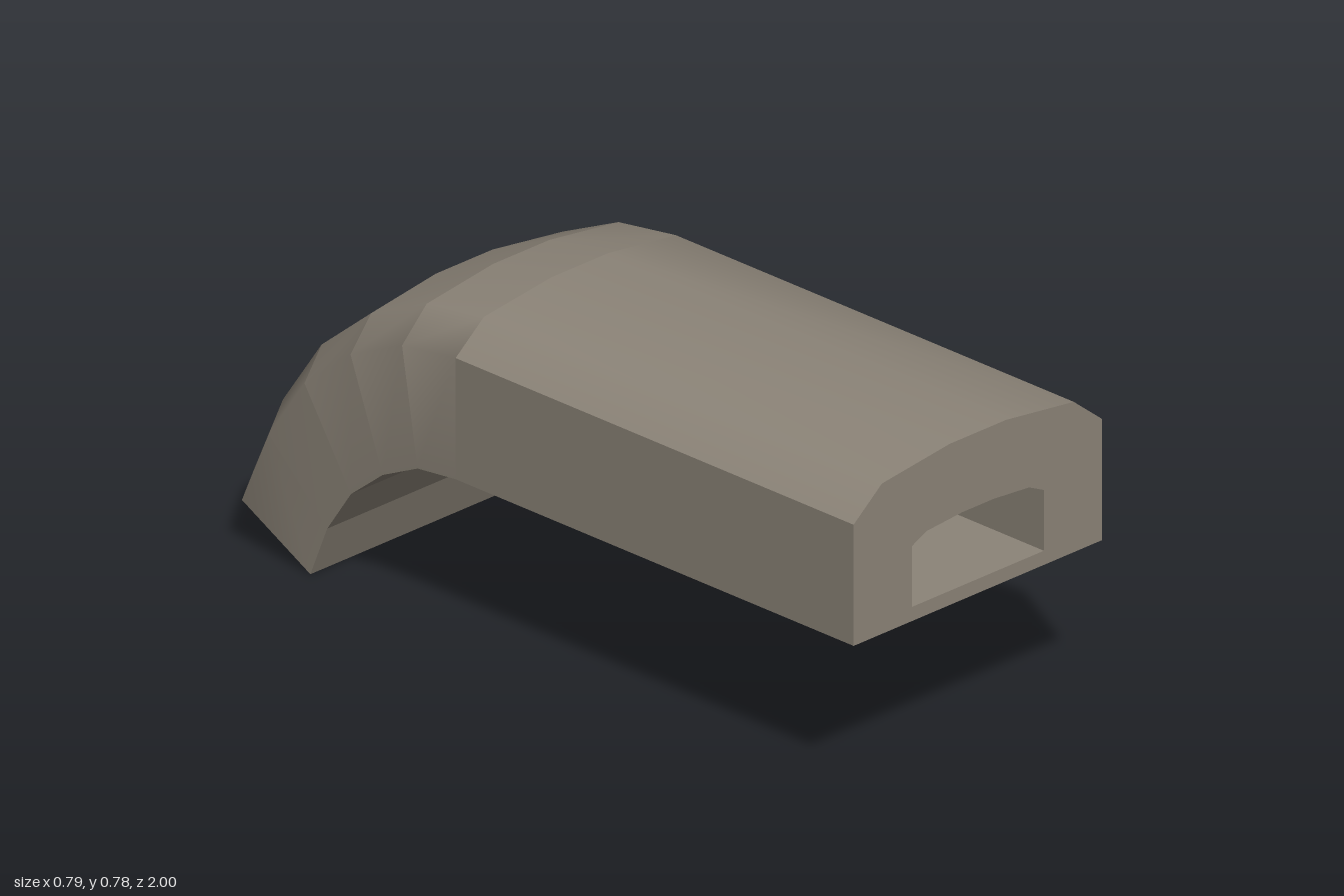
import * as THREE from 'three';
import { toCreasedNormals } from 'three/addons/utils/BufferGeometryUtils.js';

// Cross-section, counterclockwise seen from the front: x and fraction of the height
const PROFILE = [
  [0.395, 0], [0.395, 0.752], [0.305, 0.933], [0.09, 1],
  [-0.09, 1], [-0.305, 0.933], [-0.395, 0.752], [-0.395, 0],
];

// Stations along the bend: inner z, y then outer z, y
const STATIONS = [
  [-0.255, 0.385, -0.255, 0.783],
  [-0.375, 0.372, -0.44, 0.755],
  [-0.485, 0.32, -0.62, 0.672],
  [-0.585, 0.24, -0.78, 0.54],
  [-0.66, 0.13, -0.905, 0.36],
  [-0.713, 0, -1, 0.15],
];

function ring([iz, iy, oz, oy]) {
  return PROFILE.map(([x, t]) => [x, iy + (oy - iy) * t, iz + (oz - iz) * t]);
}

function surface(points, index) {
  const g = new THREE.BufferGeometry();
  g.setAttribute('position', new THREE.Float32BufferAttribute(points.flat(), 3));
  g.setIndex(index);
  g.computeVertexNormals();
  return g;
}

function outline(points, Type) {
  return new Type(points.map(([x, y]) => new THREE.Vector2(x, y)));
}

export function createModel() {
  const model = new THREE.Group();
  const stone = new THREE.MeshStandardMaterial({ color: 0x8c8478 });
  stone.name = 'warm grey';

  const add = (parent, name, geometry) => {
    const mesh = new THREE.Mesh(geometry, stone);
    mesh.name = name;
    parent.add(mesh);
    return mesh;
  };

  // Straight body with an arched roof and a tunnel opening at the front
  const opening = [
    [0.21, 0.42], [0.21, 0.57], [0.163, 0.592], [0.05, 0.601],
    [-0.05, 0.601], [-0.163, 0.592], [-0.21, 0.57], [-0.21, 0.42],
  ];
  const bodyShape = outline(PROFILE.map(([x, t]) => [x, 0.385 + 0.398 * t]), THREE.Shape);
  bodyShape.holes.push(outline(opening, THREE.Path));
  const body = new THREE.ExtrudeGeometry(bodyShape, { depth: 1.255, bevelEnabled: false });
  body.translate(0, 0, -0.255);
  add(model, 'body', toCreasedNormals(body, 0.6));

  // Wall closing the far end of the tunnel
  add(model, 'tunnelEnd', new THREE.ShapeGeometry(outline(opening, THREE.Shape)))
    .position.z = -0.25;

  // Bend: one smooth shell and one underside per segment
  const bend = new THREE.Group();
  bend.name = 'bend';
  model.add(bend);
  const n = PROFILE.length;
  for (let s = 0; s < STATIONS.length - 1; s++) {
    const a = ring(STATIONS[s]);
    const b = ring(STATIONS[s + 1]);
    const index = [];
    for (let i = 0; i < n - 1; i++) {
      index.push(i, n + i, n + i + 1, i, n + i + 1, i + 1);
    }
    add(bend, 'bendSegment' + (s + 1), surface([...a, ...b], index));
    add(bend, 'bendUnderside' + (s + 1),
      surface([a[n - 1], b[n - 1], b[0], a[0]], [0, 1, 2, 0, 2, 3]));
  }

  // Flat cap on the lower end of the bend
  const cap = [];
  for (let i = 1; i < n - 1; i++) cap.push(0, i + 1, i);
  add(bend, 'endCap', surface(ring(STATIONS[STATIONS.length - 1]), cap));

  return model;
}
